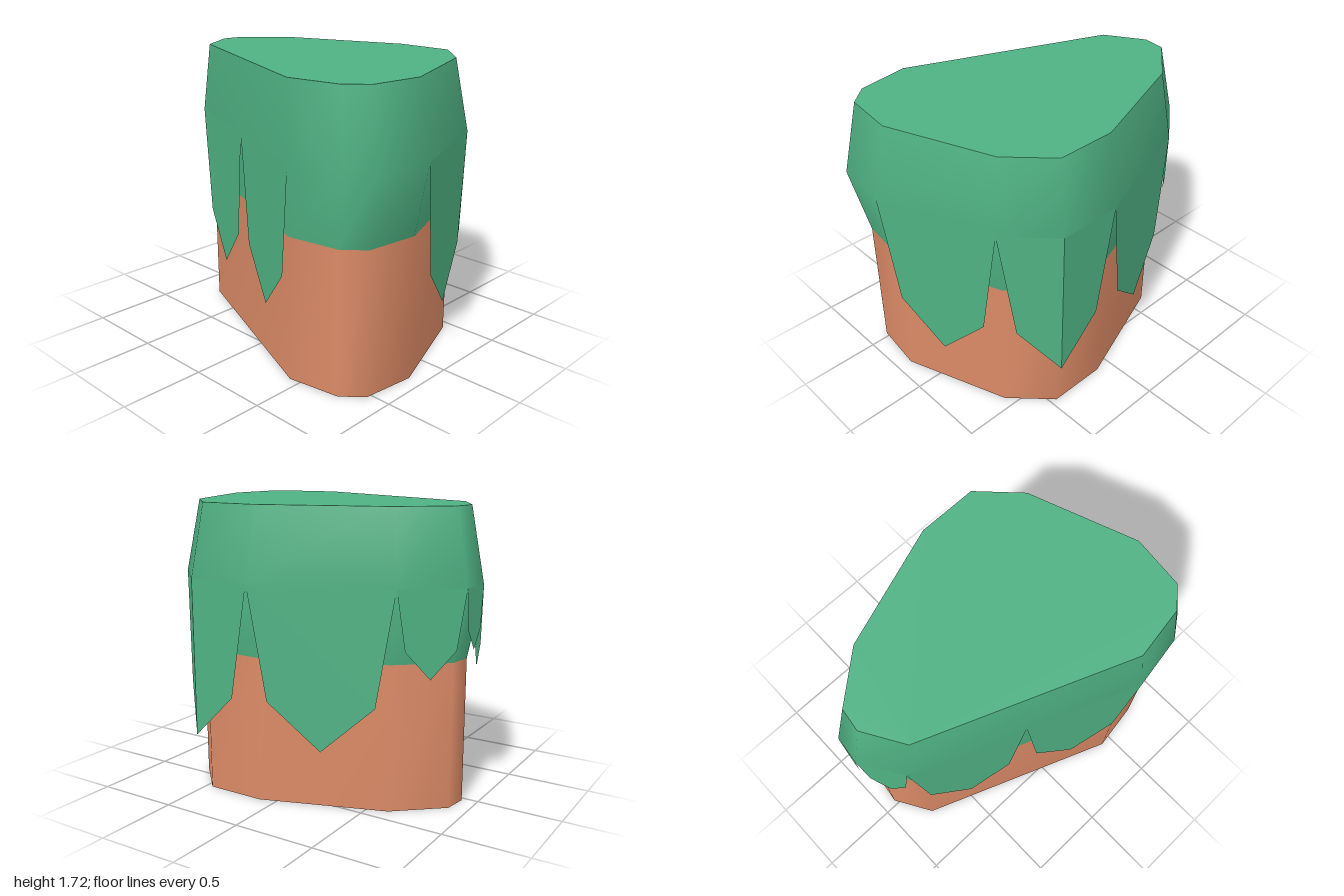
import * as THREE from 'three';

// Matching footprints as [x, z]: straight wall and the wider grass overhang
const INNER = [[0.03, -0.91], [0.17, -0.89], [0.40, -0.62], [0.655, 0.10], [0.655, 0.46], [0.43, 0.68],
  [-0.21, 0.91], [-0.53, 0.87], [-0.635, 0.75], [-0.685, 0.43], [-0.205, -0.77]];
const OUTER = [[0.04, -1], [0.21, -0.98], [0.45, -0.68], [0.73, 0.11], [0.73, 0.50], [0.48, 0.75],
  [-0.22, 1], [-0.57, 0.96], [-0.68, 0.81], [-0.735, 0.48], [-0.21, -0.845]];
const RIM = 1.29, SEAM = 0.86, TOP = 1.72;

const lerp = (a, b, t) => [a[0] + (b[0] - a[0]) * t, a[1] + (b[1] - a[1]) * t];
const at = ([x, z], y) => [x, y, z];

function geometry(points, index) {
  const g = new THREE.BufferGeometry();
  g.setAttribute('position', new THREE.Float32BufferAttribute(points.flat(), 3));
  g.setIndex(index);
  g.computeVertexNormals();
  return g;
}

// Smooth wall through stacked rings, given from the bottom up
function wall(rings) {
  const n = INNER.length, index = [];
  for (let r = 0; r < rings.length - 1; r++) {
    for (let i = 0; i < n; i++) {
      const j = (i + 1) % n, a = r * n + j, b = r * n + i;
      index.push(a, b, b + n, a, b + n, a + n);
    }
  }
  return geometry(rings.flatMap(([ring, y]) => ring.map(p => at(p, y))), index);
}

// Flat convex polygon, corners counter-clockwise from its front
function panel(points) {
  const index = [];
  for (let i = 1; i < points.length - 1; i++) index.push(0, i, i + 1);
  return geometry(points, index);
}

export function createModel() {
  const dirt = new THREE.MeshStandardMaterial({ color: 0xdb8a66 });
  dirt.name = 'dirt';
  const grass = new THREE.MeshStandardMaterial({ color: 0x4fb283 });
  grass.name = 'grass';
  grass.side = THREE.DoubleSide;

  const model = new THREE.Group();
  model.name = 'cliffBlock';
  const add = (name, geo, material, parent = model) => {
    const mesh = new THREE.Mesh(geo, material);
    mesh.name = name;
    parent.add(mesh);
  };

  // Dirt body
  add('dirtWall', wall([[INNER, 0], [INNER, SEAM]]), dirt);
  add('dirtBase', panel(INNER.map(p => at(p, 0))), dirt);

  // Grass cap, bulging out at the rim
  add('grassWall', wall([[INNER, SEAM], [OUTER, RIM], [INNER, TOP]]), grass);
  add('grassTop', panel(INNER.map(p => at(p, TOP)).reverse()), grass);

  // Pointed grass flaps hanging straight down from the rim
  const flaps = new THREE.Group();
  flaps.name = 'grassFlaps';
  model.add(flaps);
  const flap = (p, q, shoulder, tip) => add('grassFlap', panel([
    at(q, RIM), at(lerp(p, q, 0.87), shoulder), at(lerp(p, q, 0.5), tip),
    at(lerp(p, q, 0.13), shoulder), at(p, RIM)]), grass, flaps);

  const longMiddle = lerp(OUTER[9], OUTER[10], 0.5);
  flap(OUTER[5], OUTER[6], 0.625, 0.35);
  flap(OUTER[2], OUTER[3], 0.625, 0.35);
  flap(OUTER[9], longMiddle, 0.625, 0.35);
  flap(longMiddle, OUTER[10], 0.625, 0.35);
  flap(OUTER[1], OUTER[2], 0.95, 0.79);
  flap(OUTER[10], OUTER[0], 0.95, 0.79);
  flap(OUTER[0], OUTER[1], 1.05, 0.94);

  // One flap folded around the front corner
  const [p, corner, q] = OUTER.slice(3, 6);
  add('cornerFlapSide', panel([at(corner, RIM), at(corner, 0.35), at(lerp(p, corner, 0.3), 0.62), at(p, RIM)]), grass, flaps);
  add('cornerFlapFront', panel([at(q, RIM), at(lerp(corner, q, 0.72), 0.62), at(corner, 0.35), at(corner, RIM)]), grass, flaps);

  return model;
}
